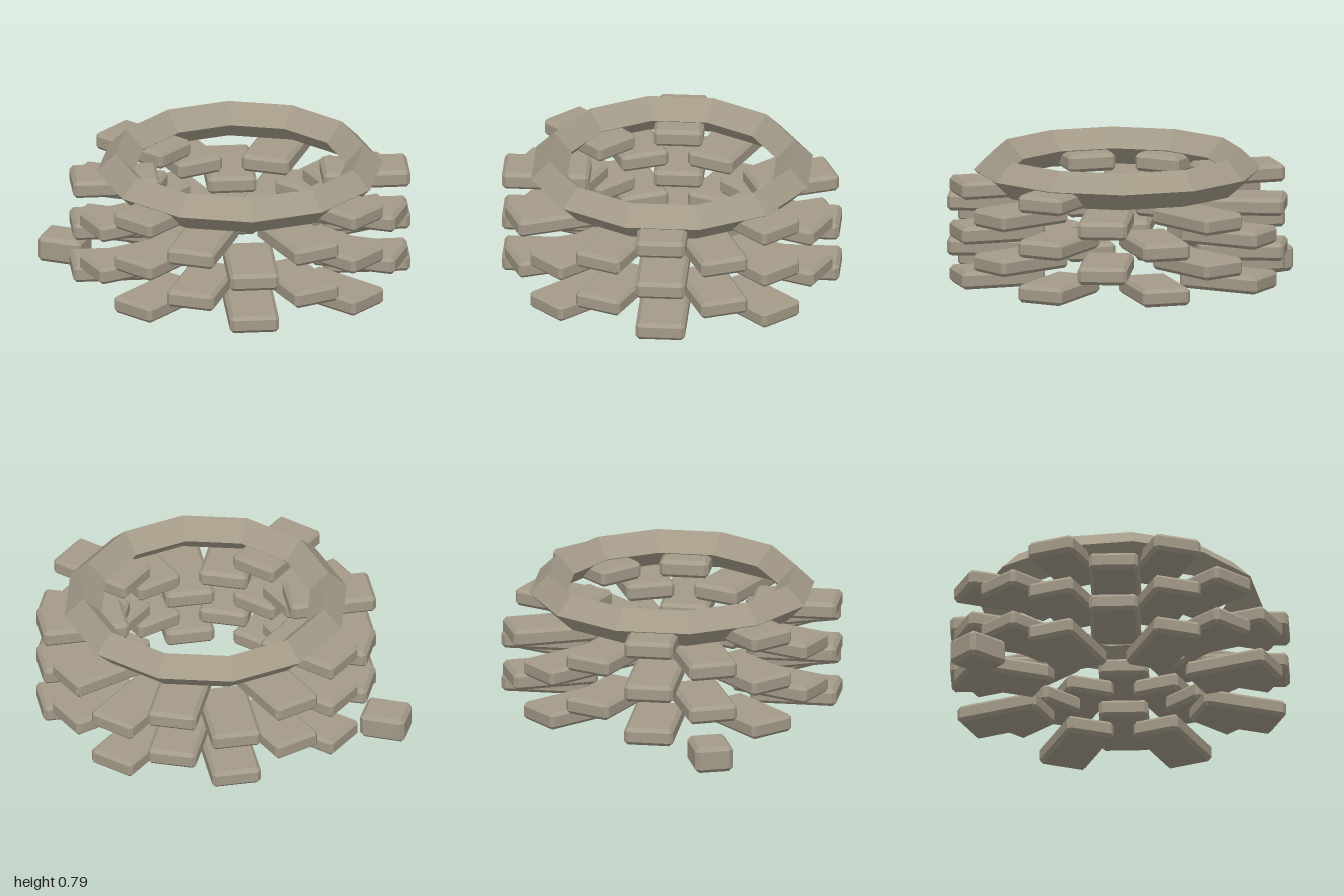
import * as THREE from 'three';
import { ConvexGeometry } from 'three/addons/geometries/ConvexGeometry.js';

// Box with all edges and corners chamfered by c
function chamferedBox(w, h, d, c) {
  const points = [];
  for (const sx of [-1, 1]) for (const sy of [-1, 1]) for (const sz of [-1, 1]) {
    const x = w / 2, y = h / 2, z = d / 2;
    points.push(
      new THREE.Vector3(sx * x, sy * (y - c), sz * (z - c)),
      new THREE.Vector3(sx * (x - c), sy * y, sz * (z - c)),
      new THREE.Vector3(sx * (x - c), sy * (y - c), sz * z)
    );
  }
  return new ConvexGeometry(points);
}

export function createModel() {
  const model = new THREE.Group();
  model.name = 'stoneWell';

  const stone = new THREE.MeshStandardMaterial({ color: 0xa39a88, flatShading: true });
  stone.name = 'stone';

  const well = new THREE.Group();
  well.name = 'well';
  well.position.x = 0.072;
  model.add(well);

  // Rings of radial bricks, each course staggered by half a step
  const brickGeometry = chamferedBox(0.27, 0.098, 0.475, 0.02);
  const courses = 5, perCourse = 8;
  const missingOnTop = [0, 3, 4]; // front, back right corner and back
  for (let i = 0; i < courses; i++) {
    const course = new THREE.Group();
    course.name = `brickCourse${i + 1}`;
    course.position.y = 0.133 + i * 0.1245;
    for (let k = 0; k < perCourse; k++) {
      if (i === courses - 1 && missingOnTop.includes(k)) continue;
      const angle = (k + (i % 2) * 0.5) * Math.PI * 2 / perCourse;
      const brick = new THREE.Mesh(brickGeometry, stone);
      brick.name = 'brick';
      brick.position.set(Math.sin(angle) * 0.685, 0, Math.cos(angle) * 0.685);
      brick.rotation.y = angle;
      course.add(brick);
    }
    well.add(course);
  }

  // Twelve-sided rim with a diamond cross-section
  const rim = new THREE.Mesh(new THREE.TorusGeometry(0.681, 0.102, 4, 12), stone);
  rim.name = 'rim';
  rim.rotation.x = Math.PI / 2;
  rim.position.y = 0.685;
  well.add(rim);

  // Loose brick lying beside the well
  const loose = new THREE.Mesh(chamferedBox(0.25, 0.145, 0.21, 0.022), stone);
  loose.name = 'looseBrick';
  loose.position.set(-0.848, 0.0725, -0.43);
  loose.rotation.y = -0.44;
  model.add(loose);

  return model;
}
